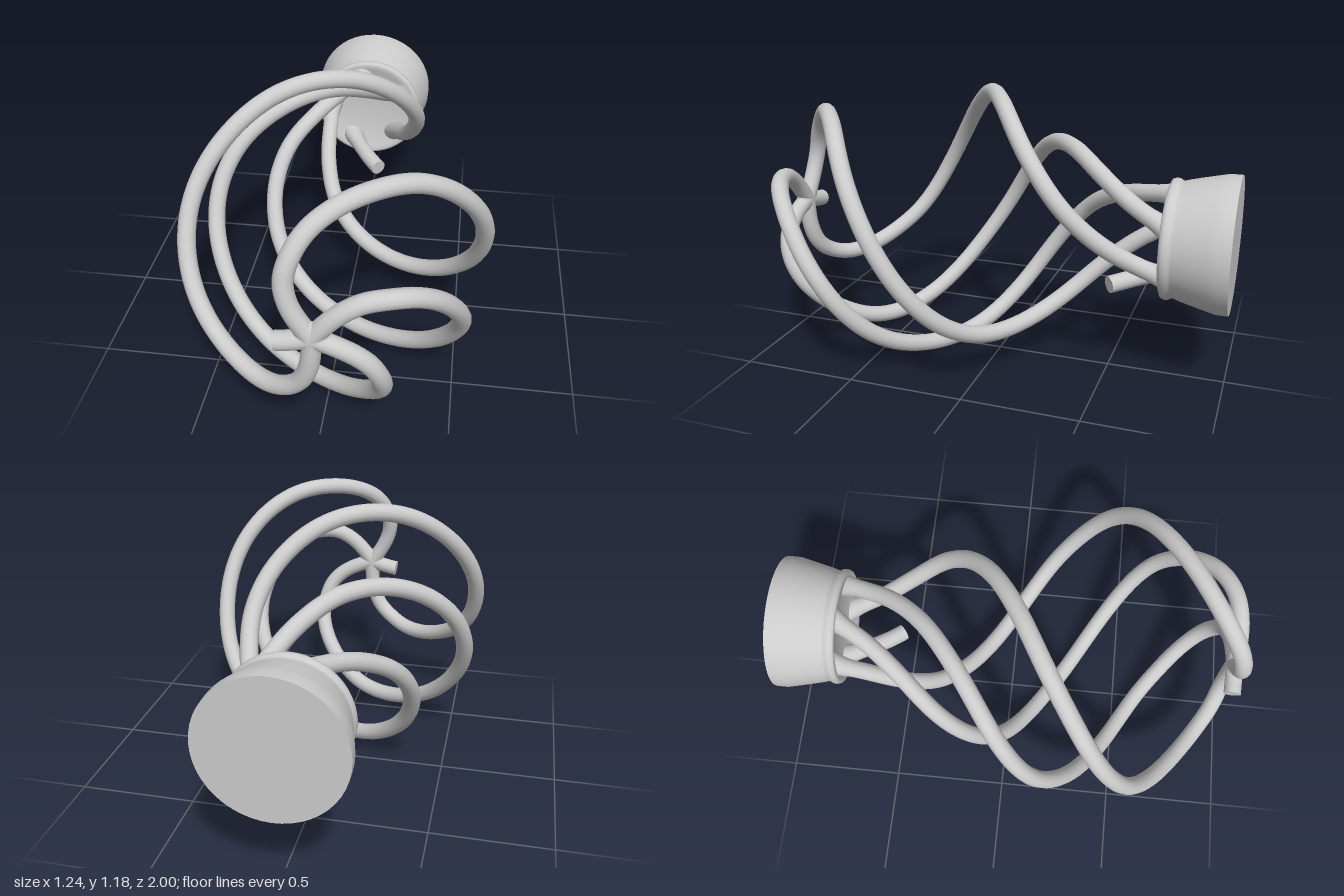
import * as THREE from 'three';

const AXIS_Y = 0.615, WIRE_R = 0.037, WIRES = 5;

// Shared spiral: [z, distance from axis, clockwise angle in degrees]
const SPIRAL = [
  [0.962, 0, -36], [0.96, 0.12, -32], [0.948, 0.22, -25], [0.92, 0.31, -14], [0.86, 0.39, -2],
  [0.72, 0.49, 21], [0.6, 0.55, 39], [0.45, 0.585, 65], [0.27, 0.583, 96], [0.13, 0.565, 119],
  [0, 0.515, 142], [-0.15, 0.425, 169], [-0.3, 0.335, 195], [-0.45, 0.245, 221],
  [-0.6, 0.19, 250], [-0.78, 0.18, 284],
];

function spiralPoints(turn, keep = () => true) {
  const table = new THREE.CatmullRomCurve3(
    SPIRAL.map(([z, r, a]) => new THREE.Vector3(z, r, a / 100)));
  return table.getPoints(120).filter(keep).map((p) => {
    const a = THREE.MathUtils.degToRad(p.z * 100 + turn);
    return new THREE.Vector3(p.y * Math.sin(a), AXIS_Y + p.y * Math.cos(a), p.x);
  });
}

// Round wire that thickens where it joins the hub and the base
function wire(points, segments, name, mat) {
  const curve = new THREE.CatmullRomCurve3(points);
  const g = new THREE.TubeGeometry(curve, segments, WIRE_R, 14, false);
  const pos = g.attributes.position, nor = g.attributes.normal;
  const p = new THREE.Vector3(), n = new THREE.Vector3();
  for (let i = 0; i < pos.count; i++) {
    p.fromBufferAttribute(pos, i);
    n.fromBufferAttribute(nor, i);
    const root = THREE.MathUtils.smoothstep(-p.z, 0.66, 0.78) * 0.014;
    p.addScaledVector(n, root);
    pos.setXYZ(i, p.x, p.y, p.z);
  }
  const mesh = new THREE.Mesh(g, mat);
  mesh.name = name;
  return { mesh, curve };
}

// Flat cut face at one end of a broken wire
function cutFace(curve, t, mat) {
  const cap = new THREE.Mesh(new THREE.CircleGeometry(WIRE_R, 14), mat);
  const p = curve.getPoint(t);
  const dir = curve.getTangent(t).multiplyScalar(t > 0.5 ? 1 : -1);
  cap.position.copy(p);
  cap.quaternion.setFromUnitVectors(new THREE.Vector3(0, 0, 1), dir);
  cap.name = 'cutFace';
  return cap;
}

export function createModel() {
  const model = new THREE.Group();
  model.name = 'spiralWhisk';
  const mat = new THREE.MeshStandardMaterial({ color: 0xcccccc });

  // Four whole spiral wires
  for (let i = 0; i < WIRES - 1; i++) {
    model.add(wire(spiralPoints(i * 72), 140, 'spiralWire' + (i + 1), mat).mesh);
  }

  // Fifth wire is broken: a stub at the hub and one at the base
  const turn = (WIRES - 1) * 72;
  const front = wire(spiralPoints(turn, (p) => p.y < 0.14 && p.x > 0.9), 12, 'hubStub', mat);
  const rear = wire(spiralPoints(turn, (p) => p.x < -0.49), 30, 'baseStub', mat);
  model.add(front.mesh, cutFace(front.curve, 1, mat));
  model.add(rear.mesh, cutFace(rear.curve, 0, mat));

  // Hub where the wires meet
  const hub = new THREE.Mesh(new THREE.SphereGeometry(0.068, 20, 14), mat);
  hub.scale.z = 0.54;
  hub.position.set(0, AXIS_Y, 0.962);
  hub.name = 'hub';
  model.add(hub);

  // Flared base with a rounded front rim and a shallow dished face
  const profile = [
    [0.285, -1], [0.285, -0.95], [0.276, -0.91], [0.262, -0.85], [0.25, -0.8], [0.242, -0.775],
    [0.243, -0.765], [0.25, -0.755], [0.252, -0.74], [0.247, -0.727], [0.235, -0.722],
    [0.215, -0.728], [0.16, -0.745], [0.08, -0.755], [0, -0.757],
  ].map(([r, z]) => new THREE.Vector2(r, z));
  const base = new THREE.Group();
  base.name = 'base';
  base.position.y = AXIS_Y;
  const shell = new THREE.Mesh(new THREE.LatheGeometry(profile, 48).rotateX(Math.PI / 2), mat);
  shell.name = 'baseShell';
  const back = new THREE.Mesh(new THREE.CircleGeometry(0.285, 48).rotateY(Math.PI), mat);
  back.position.z = -1;
  back.name = 'baseBack';
  base.add(shell, back);
  model.add(base);

  return model;
}
